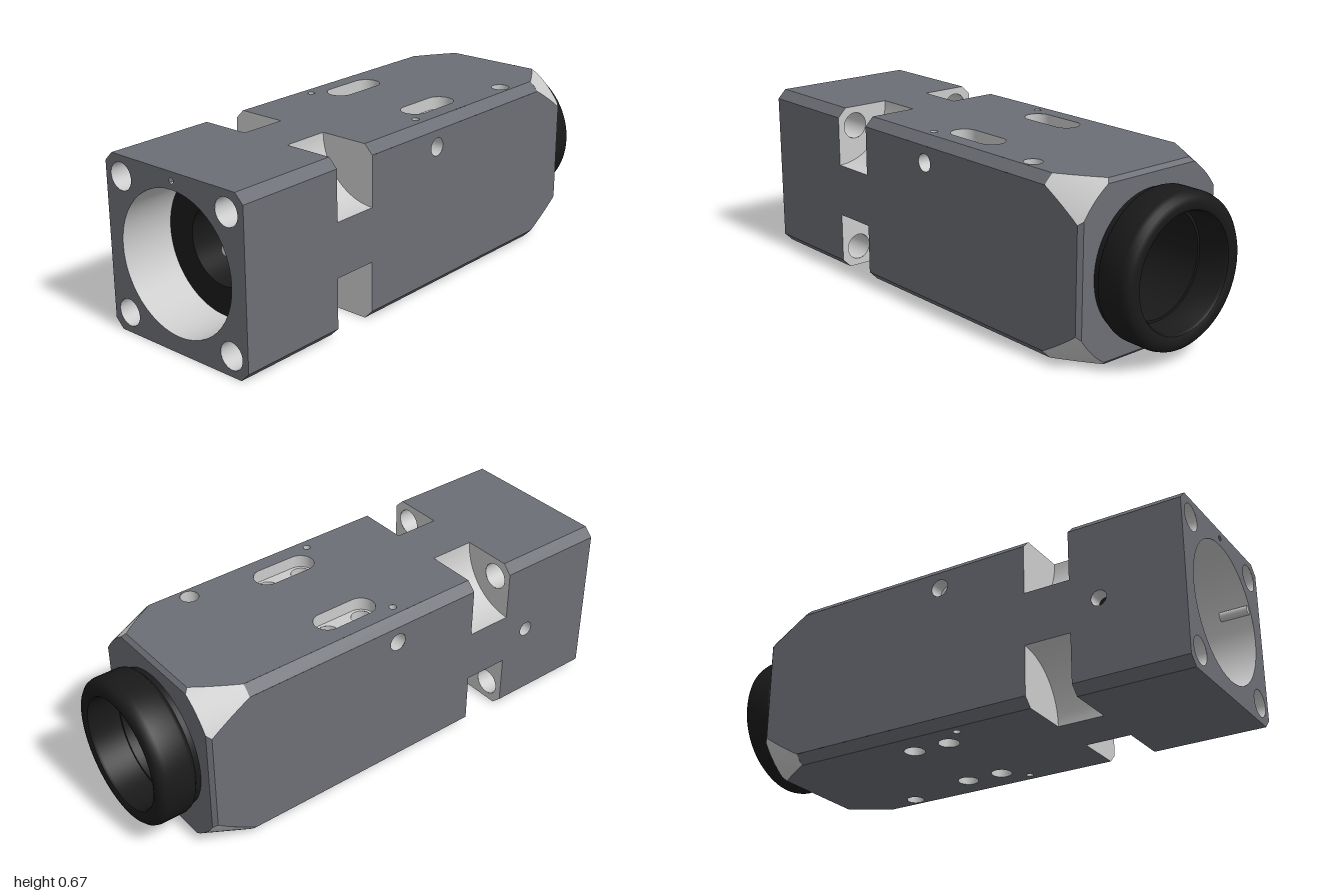
import * as THREE from 'three';
import { toCreasedNormals } from 'three/addons/utils/BufferGeometryUtils.js';

const H = 0.335, C = 0.30;              // half width of the block, start of its edge chamfer
const REAR = -1, N0 = -0.555, N1 = -0.37; // rear end and notch limits
const CONE = 0.655, BEVEL = 0.815, FACE = 0.83;
const NOTCH = 0.23, BOLT = 0.257, BOLT_R = 0.052, RECESS = 0.27;

const mat = (color) => new THREE.MeshStandardMaterial({ color, side: THREE.DoubleSide });
const metal = mat(0x6c6e75), bare = mat(0xcccccc), black = mat(0x1a1a1a);

const V = (x, y) => new THREE.Vector2(x, y);
const coneR = (x) => 0.4496 - (x - CONE) * 0.38;
const halfAt = (x) => H - Math.max(0, x - BEVEL);
const flatW = (x) => Math.sqrt(coneR(x) ** 2 - halfAt(x) ** 2);
const steps = (a, b, n) => Array.from({ length: n + 1 }, (_, i) => a + (b - a) * i / n);
const noseX = steps(CONE, BEVEL, 8);

function add(parent, name, geometry, material, x = 0, y = 0, z = 0) {
  const m = new THREE.Mesh(geometry, material);
  m.name = name;
  m.position.set(x, y, z);
  parent.add(m);
  return m;
}

// Surface through rows of [x, y, z] points
function grid(rows) {
  const n = rows[0].length, index = [];
  for (let r = 0; r < rows.length - 1; r++) {
    for (let i = 0; i < n - 1; i++) {
      const a = r * n + i, b = a + 1, d = a + n, c = d + 1;
      index.push(a, c, b, a, d, c);
    }
  }
  const g = new THREE.BufferGeometry();
  g.setAttribute('position', new THREE.Float32BufferAttribute(rows.flat(2), 3));
  g.setIndex(index);
  g.computeVertexNormals();
  return g;
}

function circle(x, y, r) {
  return new THREE.Path().absarc(x, y, r, 0, Math.PI * 2, true);
}

function slotPath(x, y, half, r, path = new THREE.Path()) {
  path.absarc(x + half, y, r, -Math.PI / 2, Math.PI / 2, false);
  path.absarc(x - half, y, r, Math.PI / 2, Math.PI * 1.5, false);
  path.closePath();
  return path;
}

function sheet(points, holes = []) {
  const s = new THREE.Shape(points);
  s.holes.push(...holes);
  return new THREE.ShapeGeometry(s, 24);
}

// Open wall of a hole that runs inward from z0 to z1
function bore(parent, name, x, y, r, z0, z1) {
  const g = new THREE.CylinderGeometry(r, r, z0 - z1, 28, 1, true).rotateX(Math.PI / 2);
  add(parent, name, g, bare, x, y, (z0 + z1) / 2);
}

// Turned part about the x axis from [x, radius] pairs
function turned(parent, name, profile, material) {
  const g = new THREE.LatheGeometry(profile.map(([x, r]) => V(r, x)), 80).rotateZ(-Math.PI / 2);
  add(parent, name, toCreasedNormals(g, 0.6), material);
}

// Flat side of the block, narrowed at the notches and along the nose cone
function sideOutline() {
  const w = H - NOTCH;
  const upper = [V(REAR, C), V(N0, C), V(N0, w), V(N1, w), V(N1, C), ...noseX.map((x) => V(x, flatW(x)))];
  return [...upper.map((p) => V(p.x, -p.y)), ...upper.reverse()];
}

export function createModel() {
  const model = new THREE.Group();
  const body = new THREE.Group();
  body.name = 'body';
  body.position.y = H;
  model.add(body);

  // Openings per side: [along x, across, radius]
  const pair = [-1, 1];
  const front = [[0, 0.235, 0.035]];
  const top = [...pair.map((s) => [-0.035, s * 0.26, 0.014]), [0.51, -0.255, 0.035]];
  const back = [[0, -0.235, 0.035], [-0.67, 0, 0.03]];
  const bottom = [...pair.flatMap((s) => [[0.05, s * 0.185, 0.04], [0.205, s * 0.185, 0.04], [-0.035, s * 0.26, 0.014]]),
    [0.51, 0.255, 0.035]];
  const sides = [['front', front], ['top', top], ['back', back], ['bottom', bottom]];

  const arc = steps(0, Math.PI / 2, 20).map((t) => [H - NOTCH * Math.cos(t), H - NOTCH * Math.sin(t)]);
  const notchWall = [V(-C, H), V(-H, C), ...arc.map(([y, z]) => V(-z, y))];

  sides.forEach(([name, holes], k) => {
    const q = new THREE.Group();
    q.name = name + 'Side';
    q.rotation.x = -k * Math.PI / 2;
    body.add(q);

    const paths = holes.map(([x, y, r]) => circle(x, y, r));
    if (name === 'top') pair.forEach((s) => paths.push(slotPath(0.13, s * 0.185, 0.077, 0.053)));
    add(q, 'sidePlate', sheet(sideOutline(), paths), metal, 0, 0, H);

    // Chamfered long edge, before and after the notch
    for (const [x0, x1] of [[REAR, N0], [N1, CONE]]) {
      add(q, 'edgeChamfer', grid([x0, x1].map((x) => [[x, C, H], [x, H, C]])), metal);
    }
    // Turned cone across the front corner and bevel of the front edge
    add(q, 'noseCone', grid([...noseX, FACE].map((x) => {
      const a = Math.acos(halfAt(x) / coneR(x));
      return steps(a, Math.PI / 2 - a, 14).map((t) => [x, coneR(x) * Math.sin(t), coneR(x) * Math.cos(t)]);
    })), bare);
    add(q, 'frontBevel', grid([BEVEL, FACE].map((x) => [[x, -flatW(x), halfAt(x)], [x, flatW(x), halfAt(x)]])), metal);

    // Scooped notch that gives access to the corner bolt
    add(q, 'notchScoop', grid([N0, N1].map((x) => arc.map(([y, z]) => [x, y, z]))), bare);
    add(q, 'notchRearWall', sheet(notchWall, [circle(-BOLT, BOLT, BOLT_R)]), bare, N0).rotation.y = Math.PI / 2;
    add(q, 'notchFrontWall', sheet(notchWall), bare, N1).rotation.y = Math.PI / 2;
    const bolt = new THREE.CylinderGeometry(BOLT_R, BOLT_R, N0 - REAR, 28, 1, true).rotateZ(Math.PI / 2);
    add(q, 'boltHole', bolt, bare, (REAR + N0) / 2, BOLT, BOLT);

    // Short hole walls
    for (const [x, y, r] of holes) bore(q, 'holeWall', x, y, r, H, H - 0.06);
    const ends = { front: [0, 0.235], back: [0, -0.235] }[name];
    if (ends) {
      const ring = new THREE.RingGeometry(0.02, 0.035, 28);
      add(q, 'counterboreFloor', ring, bare, ends[0], ends[1], H - 0.06);
    }
    if (name === 'back') add(q, 'blindFloor', new THREE.CircleGeometry(0.03, 24), black, -0.67, 0, H - 0.06);
    if (name === 'top' || name === 'bottom') {
      const y = name === 'top' ? -0.255 : 0.255;
      add(q, 'blindFloor', new THREE.CircleGeometry(0.035, 24), black, 0.51, y, H - 0.06);
    }
    if (name === 'front') bore(q, 'crossHole', 0, 0.235, 0.02, H - 0.06, 0.06 - H);

    // Recessed slots with two through holes each
    if (name === 'top') {
      for (const s of pair) {
        const y = s * 0.185, depth = 0.05;
        const outline = slotPath(0.13, y, 0.077, 0.053, new THREE.Shape());
        const pts = outline.getPoints(16);
        const wall = grid([H - depth, H].map((z) => pts.map((p) => [p.x, p.y, z])));
        add(q, 'slotWall', wall, bare);
        outline.holes.push(circle(0.05, y, 0.04), circle(0.205, y, 0.04));
        add(q, 'slotFloor', new THREE.ShapeGeometry(outline, 16), bare, 0, 0, H - depth);
        for (const x of [0.05, 0.205]) bore(q, 'throughHole', x, y, 0.04, H - depth, -H);
        bore(q, 'pinHole', -0.035, s * 0.26, 0.014, H, -H);
      }
    }
  });

  // Rear face with the large recess and corner bolt holes
  const octagon = [[C, H], [-C, H], [-H, C], [-H, -C], [-C, -H], [C, -H], [H, -C], [H, C]].map(([x, y]) => V(x, y));
  const bolts = pair.flatMap((a) => pair.map((b) => circle(a * BOLT, b * BOLT, BOLT_R)));
  const rear = sheet(octagon, [new THREE.Path().absarc(0, 0, RECESS, 0, Math.PI * 2, true), ...bolts, circle(0, 0.302, 0.01)]);
  add(body, 'rearFace', rear, metal, REAR).rotation.y = -Math.PI / 2;
  turned(body, 'rearRecess', [[-0.78, RECESS], [REAR, RECESS]], bare);
  const pin = new THREE.CylinderGeometry(0.018, 0.018, 0.11, 16).rotateZ(Math.PI / 2);
  add(body, 'locatingPin', pin, bare, REAR + 0.06, 0.116, 0.24);

  // Front face
  const a = Math.acos(halfAt(FACE) / coneR(FACE)), rim = [];
  for (let k = 0; k < 4; k++) {
    for (const t of steps(a, Math.PI / 2 - a, 14)) {
      const u = t + k * Math.PI / 2;
      rim.push(V(coneR(FACE) * Math.cos(u), coneR(FACE) * Math.sin(u)));
    }
  }
  add(body, 'frontFace', sheet(rim, [circle(0, 0, 0.24)]), metal, FACE).rotation.y = Math.PI / 2;

  // Inner tube, retaining ring and rubber eyecup
  turned(body, 'innerTube', [[0.6, 0.19], [0.6, 0.155], [-0.78, 0.155], [-0.78, RECESS]], black);
  turned(body, 'retainingRing', [[0.6, 0.202], [0.615, 0.198], [0.615, 0.188], [0.6, 0.184]], bare);
  turned(body, 'eyecup', [
    [FACE, 0.268], [0.85, 0.268], [0.862, 0.282], [0.872, 0.285], [0.965, 0.285], [0.983, 0.28], [0.995, 0.268],
    [1, 0.25], [1, 0.235], [0.995, 0.222], [0.985, 0.216], [0.87, 0.214], [0.87, 0.204], [0.6, 0.2],
  ], black);

  return model;
}
